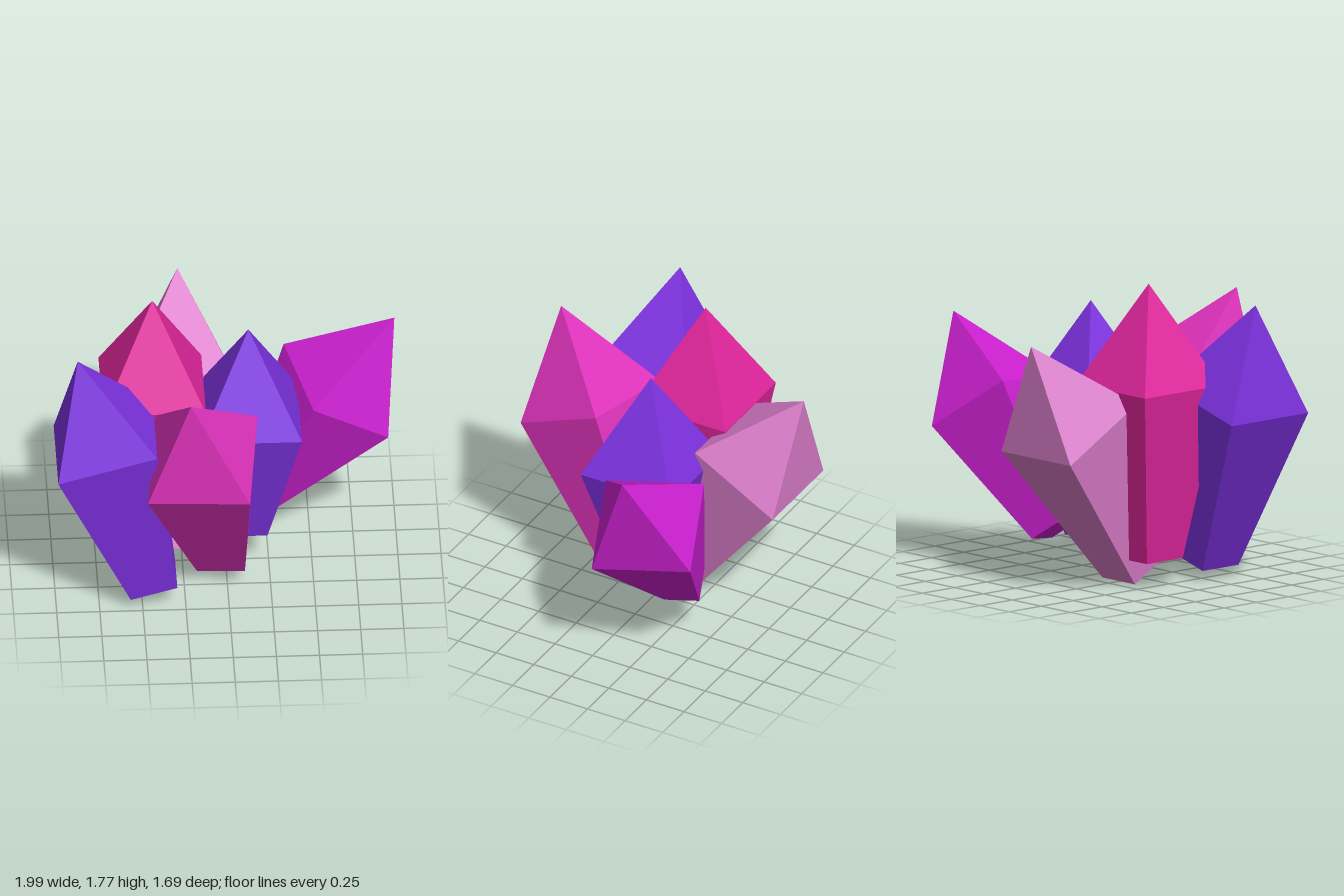
import * as THREE from 'three';

const paint = (name, color) => {
  const m = new THREE.MeshStandardMaterial({ color });
  m.name = name;
  return m;
};

// Square crystal: tapered shaft widening from base to shoulder, closed by a pyramid tip.
// base and shoulder are centre points, side is the direction of one shoulder edge.
function crystal(name, material, { base, shoulder, side, baseHalf = 0.14, half = 0.298, squash = 1 }) {
  const b = new THREE.Vector3(...base);
  const axis = new THREE.Vector3(...shoulder).sub(b);
  const length = axis.length();
  axis.normalize();
  const u = new THREE.Vector3(...side);
  u.addScaledVector(axis, -u.dot(axis)).normalize();
  const v = new THREE.Vector3().crossVectors(u, axis);

  const profile = [
    [0, 0],
    [baseHalf * Math.SQRT2, 0],
    [half * Math.SQRT2, length],
    [0, length + 0.597],
  ].map(([r, y]) => new THREE.Vector2(r, y));

  // Separate faces give hard facets
  const geometry = new THREE.LatheGeometry(profile, 4, Math.PI / 4).toNonIndexed();
  geometry.scale(squash, 1, 1);
  geometry.applyMatrix4(new THREE.Matrix4().makeBasis(u, axis, v).setPosition(b));
  geometry.computeVertexNormals();

  const mesh = new THREE.Mesh(geometry, material);
  mesh.name = name;
  return mesh;
}

export function createModel() {
  const purple = paint('purple', 0x7c31de);
  const rose = paint('rose', 0xe0259c);
  const palePink = paint('pale pink', 0xdb7dcb);
  const pink = paint('pink', 0xdd32bb);
  const magenta = paint('magenta', 0xcb20cf);

  const model = new THREE.Group();
  model.name = 'crystalCluster';
  model.add(
    // Upright crystals in the middle
    crystal('centreCrystal', rose, {
      base: [-0.42, 0.16, -0.09], shoulder: [-0.42, 1.18, -0.09], side: [1, 0, 0],
    }),
    crystal('shortCrystal', purple, {
      base: [0.135, 0.21, -0.04], shoulder: [0.135, 0.995, -0.04], side: [1, 0, 0], baseHalf: 0.106,
    }),
    // Crystals leaning outwards
    crystal('rightCrystal', purple, {
      base: [-0.435, 0.103, 0.335], shoulder: [-0.71, 1.083, 0.335], side: [0.96, 0.27, 0],
    }),
    crystal('backCrystal', palePink, {
      base: [-0.24, 0.075, -0.04], shoulder: [-0.24, 0.96, -0.548], side: [1, 0, 0],
    }),
    crystal('frontCrystal', pink, {
      base: [-0.021, 0.152, 0.122], shoulder: [-0.155, 1.075, 0.5275], side: [0.585, 0.045, 0.095],
    }),
    crystal('leftCrystal', magenta, {
      base: [0.176, 0.261, -0.286], shoulder: [0.655, 0.9525, -0.315], side: [0.437, -0.31, -0.155],
      baseHalf: 0.106, squash: 0.94,
    }),
  );
  return model;
}
